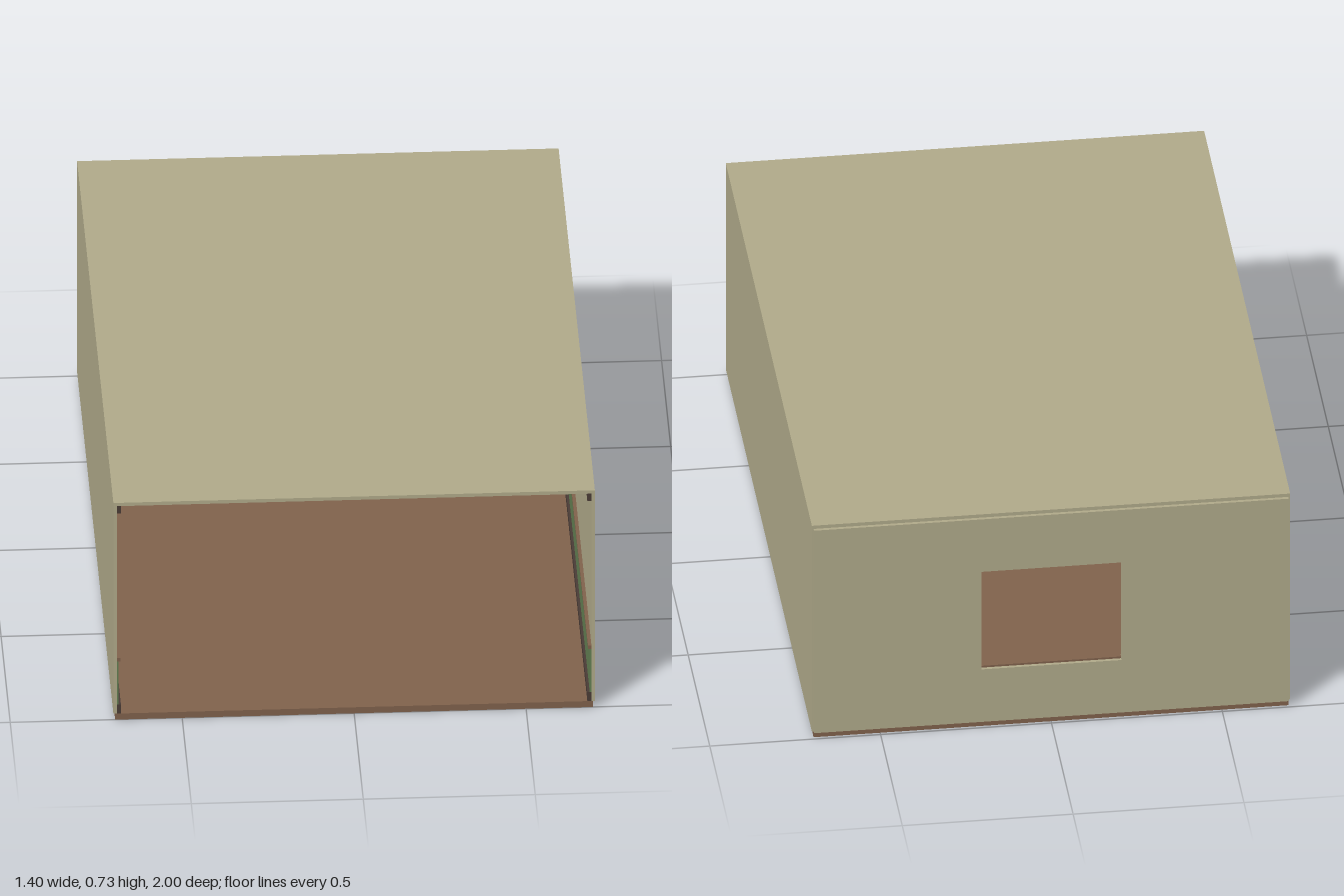
import * as THREE from 'three';

const mat = (name, color) => {
  const m = new THREE.MeshStandardMaterial({ color });
  m.name = name;
  return m;
};

export function createModel() {
  const room = new THREE.Group();
  room.name = 'room';
  const plaster = mat('plaster tan', 0xb0aa8a);
  const wood = mat('floor brown', 0x80624c);
  const green = mat('wainscot green', 0x637f52);
  const dark = mat('dark timber', 0x4a3c36);

  // Box given by its minimum and maximum along each axis
  const box = (name, material, [x0, x1], [y0, y1], [z0, z1]) => {
    const mesh = new THREE.Mesh(new THREE.BoxGeometry(x1 - x0, y1 - y0, z1 - z0), material);
    mesh.position.set((x0 + x1) / 2, (y0 + y1) / 2, (z0 + z1) / 2);
    mesh.name = name;
    room.add(mesh);
  };
  // Same box on the left and right, measured outwards from the middle
  const pair = (name, material, [x0, x1], y, z) => {
    box(name + 'Left', material, [x0, x1], y, z);
    box(name + 'Right', material, [-x1, -x0], y, z);
  };

  const base = 0.02, top = 0.715, win = 0.205;
  const depth = [-0.99, 1];

  // Shell: floor, ceiling and side walls, open at the front
  box('floor', wood, [-0.695, 0.695], [0, base], depth);
  box('ceiling', plaster, [-0.7, 0.7], [top, 0.726], depth);
  pair('sideWall', plaster, [0.69, 0.7], [base, top], depth);

  // Back wall in four panels around the window opening
  const back = [-1, -0.99];
  pair('backPanel', plaster, [win, 0.695], [base, top], back);
  box('panelAboveWindow', plaster, [-win, win], [0.535, top], back);
  box('panelBelowWindow', plaster, [-win, win], [base, 0.2], back);

  // Wall trim, stacked from the floor up: [name, material, heights, projection]
  const trims = [
    ['baseboard', dark, [base, 0.05], 0.012],
    ['wainscot', green, [0.05, 0.194], 0.005],
    ['chairRail', wood, [0.194, 0.206], 0.01],
    ['crownMoulding', dark, [0.69, top], 0.012],
  ];
  for (const [name, material, heights, out] of trims) {
    pair(name, material, [0.69 - out, 0.69], heights, depth);
    const z = [-0.99, -0.99 + out];
    if (name === 'chairRail') {
      // The rail turns to timber only where it forms the window sill
      pair(name + 'Back', plaster, [win, 0.69 - out], heights, z);
      box('windowSill', wood, [-win, win], heights, z);
    } else {
      box(name + 'Back', material, [-0.69 + out, 0.69 - out], heights, z);
    }
  }

  // Ceiling beams across the room
  for (let i = 0; i < 8; i++) {
    const z = -0.92 + i * 0.25;
    box('ceilingBeam' + (i + 1), dark, [-0.678, 0.678], [0.69, top], [z - 0.03, z + 0.03]);
  }

  return room;
}
